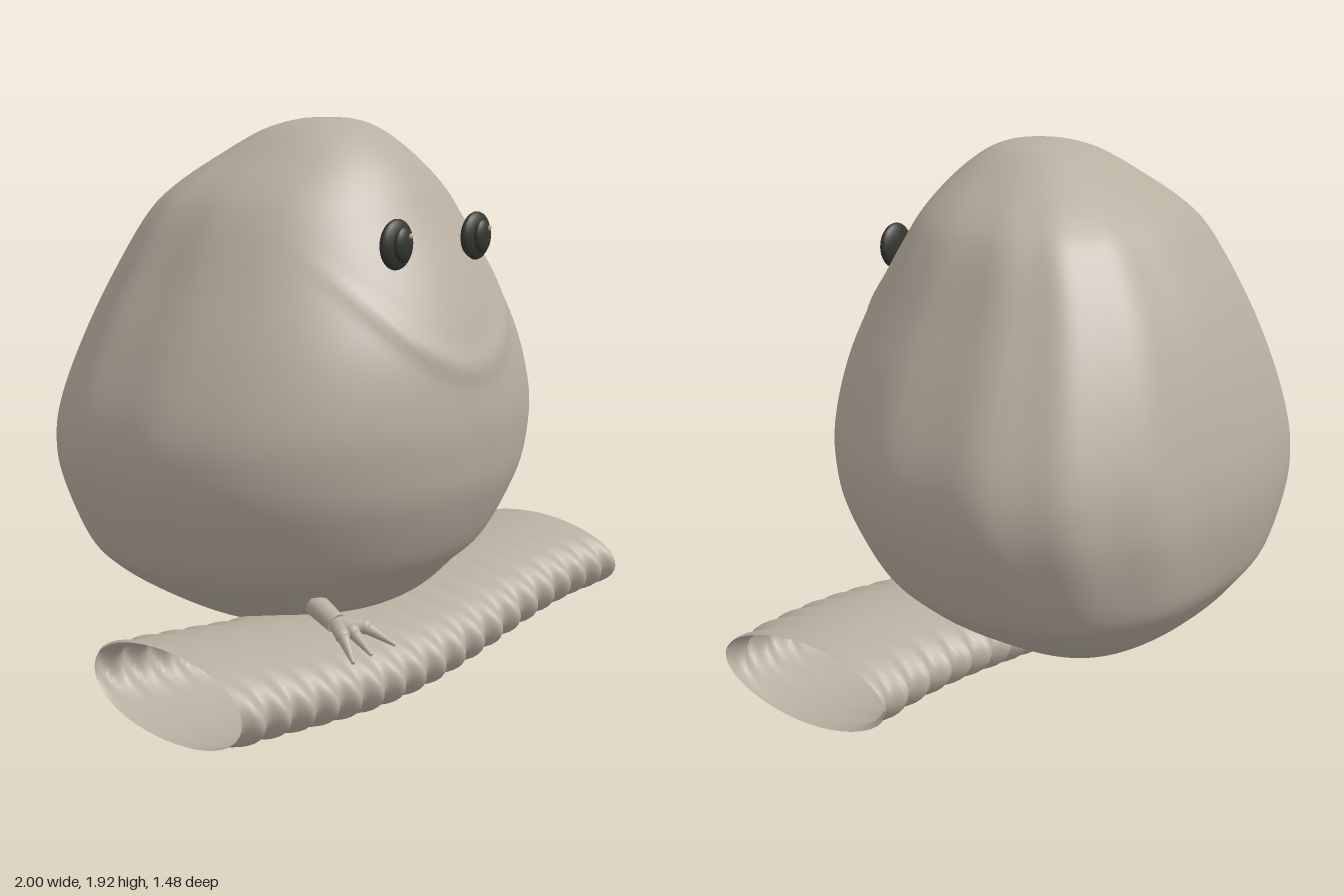
import * as THREE from 'three';
import { mergeVertices } from 'three/addons/utils/BufferGeometryUtils.js';

const plumage = new THREE.MeshStandardMaterial({ name: 'plumage', color: 0xb8aea0 });
const bark = new THREE.MeshStandardMaterial({ name: 'bark', color: 0xb8aea0, side: THREE.DoubleSide });
const eyeDark = new THREE.MeshStandardMaterial({ name: 'eyeDark', color: 0x34352e });

const spow = (v, e) => Math.sign(v) * Math.abs(v) ** e;
const smooth = THREE.MathUtils.smoothstep;

function part(name, geometry, material) {
  const mesh = new THREE.Mesh(geometry, material);
  mesh.name = name;
  return mesh;
}

// Weld seams so the normals are smooth all round
function weld(geometry) {
  geometry.deleteAttribute('uv');
  geometry.deleteAttribute('normal');
  const welded = mergeVertices(geometry, 1e-5);
  welded.computeVertexNormals();
  return welded;
}

// Body sections from crown to belly: height, half width, front z, back z
const sections = [
  [1.92, 0, 0.08, 0.08], [1.915, 0.09, 0.17, 0.0], [1.88, 0.2, 0.26, -0.11],
  [1.8, 0.325, 0.36, -0.24], [1.7, 0.46, 0.44, -0.37], [1.6, 0.545, 0.5, -0.46],
  [1.4, 0.65, 0.615, -0.575], [1.2, 0.75, 0.7, -0.655], [1.0, 0.83, 0.735, -0.71],
  [0.85, 0.85, 0.73, -0.735], [0.7, 0.82, 0.7, -0.733], [0.5, 0.73, 0.605, -0.69],
  [0.4, 0.64, 0.51, -0.63], [0.3, 0.5, 0.41, -0.54], [0.2, 0.32, 0.22, -0.39],
  [0.15, 0.15, 0.06, -0.25], [0.14, 0, -0.1, -0.1],
];

function bodyGeometry() {
  const main = new THREE.CatmullRomCurve3(
    sections.map(([y, w, f]) => new THREE.Vector3(w, y, f)), false, 'catmullrom', 0.5);
  const rear = new THREE.CatmullRomCurve3(
    sections.map((s) => new THREE.Vector3(s[3], 0, 0)), false, 'catmullrom', 0.5);
  const g = new THREE.SphereGeometry(1, 144, 112);
  const p = g.attributes.position, uv = g.attributes.uv;
  for (let i = 0; i < p.count; i++) {
    const t = 1 - uv.getY(i), a = uv.getX(i) * Math.PI * 2;
    const s = main.getPoint(t), back = rear.getPoint(t).x;
    const dx = -Math.cos(a), dz = Math.sin(a);
    const mid = (s.z + back) / 2 - 0.1 * s.x;
    // Round breast, squarer folded wings behind
    const e = 2 / (dz > 0 ? 2.1 : 2.5);
    // Feather grooves over the back and flanks
    const phi = Math.atan2(dx, -dz);
    const groove = 1 + 0.008 * Math.cos(phi * 14) * smooth(-dz, -0.55, 0.1)
      * smooth(s.y, 0.35, 0.8) * smooth(1.9 - s.y, 0, 0.3);
    const x = s.x * spow(dx, e) * groove;
    let z = mid + (dz > 0 ? s.z - mid : mid - back) * spow(dz, e) * groove;
    // Raised heart-shaped rim below the face
    if (dz > 0 && Math.abs(x) < 0.48) {
      const d = s.y - (1.14 + 1.7 * x * x);
      z += 0.014 * Math.exp(-((d / 0.045) ** 2)) * (1 - smooth(Math.abs(x), 0.3, 0.48));
    }
    p.setXYZ(i, x, s.y, z);
  }
  return weld(g);
}

// Hollow wavy perch with rippled edges
const perchY = (x) => 0.19 - 0.047 * Math.cos(Math.PI * (x + 0.2));

function perchGeometry() {
  const g = new THREE.CylinderGeometry(1, 1, 2, 48, 180, true);
  g.rotateZ(-Math.PI / 2);
  const p = g.attributes.position;
  for (let i = 0; i < p.count; i++) {
    const x = p.getX(i), cy = p.getY(i), cz = p.getZ(i);
    const ripple = 0.018 * cz * cz * Math.sin(x * 58 + cy * 1.8);
    p.setXYZ(i, x, perchY(x) + (0.143 + ripple * 0.6) * cy, 0.32 + (0.342 + ripple) * cz);
  }
  return weld(g);
}

// Tapered rod between two points
function rod(name, from, to, r0, r1) {
  const a = new THREE.Vector3(...from), b = new THREE.Vector3(...to);
  const dir = b.clone().sub(a);
  const mesh = part(name, new THREE.CylinderGeometry(r1, r0, dir.length(), 10), plumage);
  mesh.position.copy(a).addScaledVector(dir, 0.5);
  mesh.quaternion.setFromUnitVectors(new THREE.Vector3(0, 1, 0), dir.normalize());
  return mesh;
}

function foot(name, side) {
  const group = new THREE.Group();
  group.name = name;
  const ankle = [side * 0.38, 0.32, 0.46];
  group.add(rod('leg', [side * 0.37, 0.36, 0.36], ankle, 0.04, 0.035));
  for (const [kx, tx] of [[0.43, 0.47], [0.38, 0.38], [0.32, 0.26]]) {
    const knuckle = [side * kx, 0.31, 0.53];
    group.add(rod('toe', ankle, knuckle, 0.026, 0.024));
    const ball = part('knuckle', new THREE.SphereGeometry(0.025, 12, 8), plumage);
    ball.position.set(...knuckle);
    group.add(ball, rod('claw', knuckle, [side * tx, 0.25, 0.61], 0.022, 0.006));
  }
  return group;
}

function disc(name, material, rx, ry, rz, z) {
  const mesh = part(name, new THREE.SphereGeometry(1, 32, 20), material);
  mesh.scale.set(rx, ry, rz);
  mesh.position.z = z;
  return mesh;
}

function eye(name, side) {
  const group = new THREE.Group();
  group.name = name;
  const glint = disc('glint', plumage, 0.007, 0.009, 0.005, 0.047);
  glint.position.set(0.012, 0.028, 0.047);
  group.add(
    disc('eyeball', eyeDark, 0.077, 0.08, 0.027, 0),
    disc('pupil', eyeDark, 0.042, 0.055, 0.018, 0.027),
    glint,
  );
  group.position.set(side * 0.21, 1.535, 0.555);
  return group;
}

export function createModel() {
  const model = new THREE.Group();
  model.name = 'perchedBird';
  model.add(part('body', bodyGeometry(), plumage), part('perch', perchGeometry(), bark));
  model.add(eye('leftEye', 1), eye('rightEye', -1));
  // The left foot is sunk into the perch
  const leftFoot = foot('leftFoot', 1);
  leftFoot.position.y = -0.05;
  model.add(leftFoot, foot('rightFoot', -1));
  return model;
}
